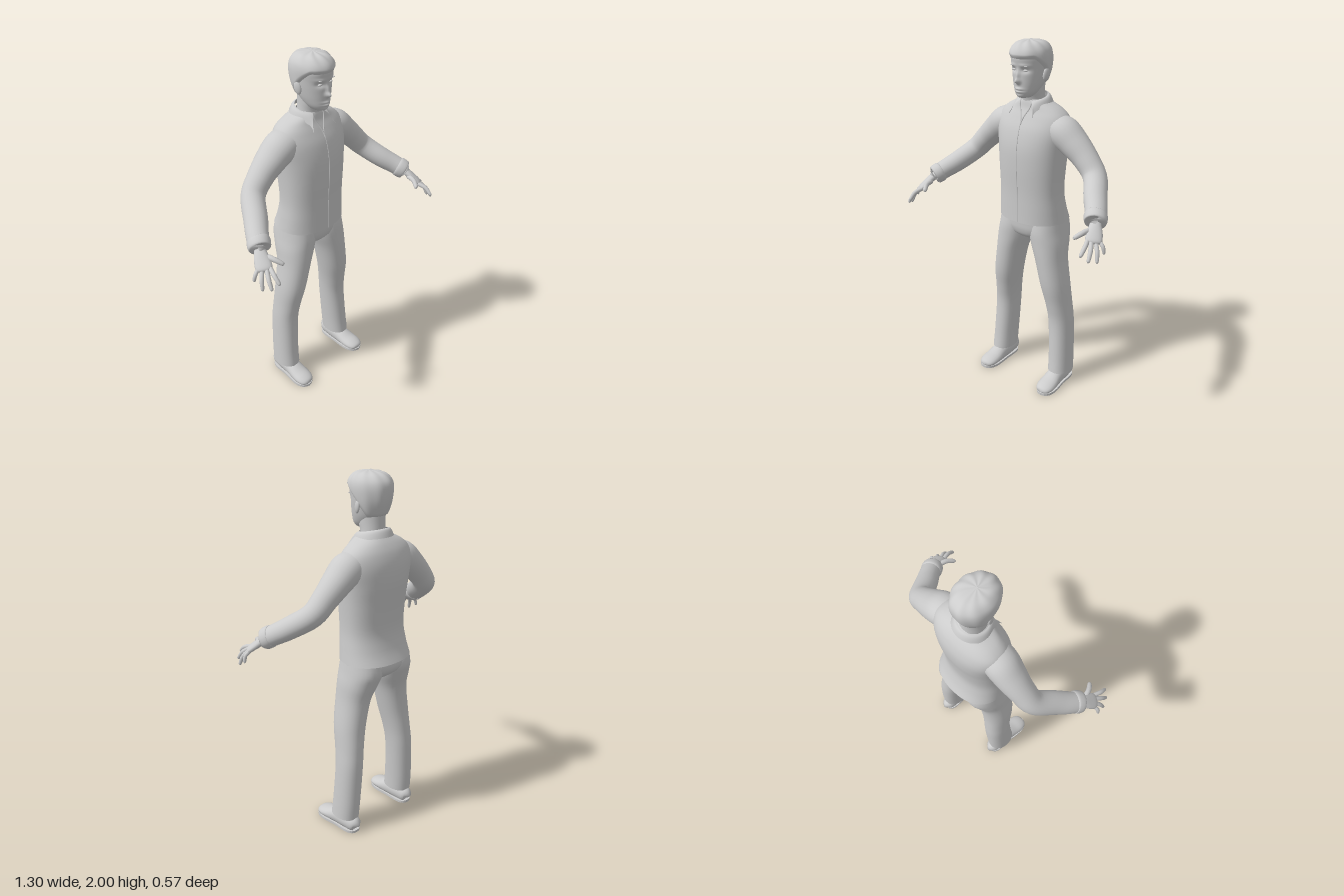
import * as THREE from 'three';

const V = (x, y, z) => new THREE.Vector3(x, y, z);

// Catmull-Rom interpolation through rows of numbers, t in 0..1
function sample(rows, t) {
  const n = rows.length - 1;
  const f = Math.min(Math.max(t, 0), 1) * n, i = Math.min(Math.floor(f), n - 1), u = f - i;
  const [a, b, c, d] = [rows[Math.max(i - 1, 0)], rows[i], rows[i + 1], rows[Math.min(i + 2, n)]];
  return b.map((p, k) => p + 0.5 * u * (c[k] - a[k] + u * (2 * a[k] - 5 * p + 4 * c[k] - d[k]
    + u * (3 * (p - c[k]) + d[k] - a[k]))));
}

// Smooth grid surface from fn(theta, t); wraps round when closed
function surface(fn, nu, nv, closed = true) {
  const pos = [], idx = [], w = closed ? nu : nu + 1;
  for (let j = 0; j <= nv; j++)
    for (let i = 0; i < w; i++) pos.push(...fn(closed ? (i / nu) * Math.PI * 2 : i / nu, j / nv).toArray());
  for (let j = 0; j < nv; j++)
    for (let i = 0; i < nu; i++) {
      const a = j * w + i, b = j * w + (i + 1) % w;
      idx.push(a, b, a + w, b, b + w, a + w);
    }
  const g = new THREE.BufferGeometry();
  g.setAttribute('position', new THREE.Float32BufferAttribute(pos, 3));
  g.setIndex(idx);
  g.computeVertexNormals();
  return g;
}

// Horizontal rings: [y, centreX, halfWidth, zFront, zBack]
const ringPoint = (rows, e = 1) => (a, t) => {
  const [y, cx, rx, zf, zb] = sample(rows, t);
  const pw = (v) => Math.sign(v) * Math.pow(Math.abs(v), e);
  return V(cx + rx * pw(Math.sin(a)), y, (zf + zb) / 2 + ((zf - zb) / 2) * pw(Math.cos(a)));
};

// Limb along a path of [x, y, z, radiusAlongRef, radiusAcross]
function limb(rows, ref, nu, nv) {
  return surface((a, t) => {
    const at = (s) => V(...sample(rows, s));
    const r = sample(rows, t);
    const T = at(t + 0.01).sub(at(t - 0.01)).normalize();
    const N = ref.clone().addScaledVector(T, -ref.dot(T)).normalize();
    const B = T.clone().cross(N);
    return V(r[0], r[1], r[2]).addScaledVector(N, r[3] * Math.cos(a)).addScaledVector(B, r[4] * Math.sin(a));
  }, nu, nv);
}

function mirrored(g) {
  const m = g.clone().scale(-1, 1, 1), ix = m.index.array;
  for (let i = 0; i < ix.length; i += 3) [ix[i], ix[i + 1]] = [ix[i + 1], ix[i]];
  m.computeVertexNormals();
  return m;
}

export function createModel() {
  const model = new THREE.Group();
  const grey = new THREE.MeshStandardMaterial({ color: 0xcccccc, side: THREE.DoubleSide });
  grey.name = 'plainGrey';
  const add = (name, g) => {
    const m = new THREE.Mesh(g, grey);
    m.name = name;
    model.add(m);
  };
  const pair = (name, g) => {
    add(name + 'Left', g);
    add(name + 'Right', mirrored(g));
  };

  // Jacket body
  const torso = ringPoint([
    [1.025, 0, 0.203, 0.033, -0.285], [1.1, 0, 0.195, 0.033, -0.255], [1.2, 0, 0.188, 0.034, -0.235],
    [1.34, 0, 0.194, 0.04, -0.245], [1.45, 0, 0.203, 0.038, -0.258], [1.54, 0, 0.215, 0.02, -0.257],
    [1.605, 0, 0.205, -0.008, -0.24], [1.65, 0, 0.16, -0.03, -0.215], [1.685, 0, 0.09, -0.038, -0.185],
    [1.7, 0, 0.066, -0.043, -0.17],
  ], 0.88);
  add('jacketBody', surface(torso, 48, 45));

  // Front closing edge and open neckline
  const seam = (f, r) => new THREE.TubeGeometry(
    new THREE.CatmullRomCurve3(Array.from({ length: 12 }, (_, i) => f(i / 11))), 24, r, 5);
  add('frontClosure', seam((s) => torso(0, 0.004 + s * 0.6), 0.0025));
  pair('necklineEdge', seam((s) => torso(0.55 * s * s, 0.6 + s * 0.36), 0.004));

  // Folded collar with pointed front tips
  add('collar', surface((u, t) => {
    const a = 0.5 + u * (Math.PI * 2 - 1), c = Math.cos(a);
    const tip = Math.pow(Math.abs(u * 2 - 1), 8);
    const inner = V(0.073 * Math.sin(a), 1.708 - 0.016 * c, -0.107 + 0.074 * c);
    const outer = V(0.104 * Math.sin(a), 1.672 - 0.012 * c, -0.11 + 0.1 * c);
    outer.lerp(V(0.08 * Math.sign(Math.sin(a)), 1.617, 0.004), tip);
    const p = inner.lerp(outer, t);
    p.y += 0.012 * Math.sin(Math.PI * t);
    return p;
  }, 48, 6, false));

  // Sleeves and turned cuffs
  pair('sleeve', limb([
    [0.12, 1.575, -0.115, 0.06, 0.08], [0.19, 1.54, -0.117, 0.084, 0.092], [0.26, 1.487, -0.12, 0.076, 0.084],
    [0.335, 1.42, -0.118, 0.066, 0.07], [0.405, 1.345, -0.1, 0.06, 0.064], [0.47, 1.275, -0.01, 0.057, 0.062],
    [0.515, 1.235, 0.05, 0.053, 0.058], [0.546, 1.205, 0.1, 0.051, 0.055],
  ], V(0.5, 0.8, 0.1), 24, 35));
  pair('cuff', limb([
    [0.529, 1.222, 0.073, 0.05, 0.054], [0.533, 1.218, 0.08, 0.056, 0.06],
    [0.551, 1.2, 0.107, 0.052, 0.056], [0.551, 1.2, 0.108, 0.028, 0.03],
  ], V(0.5, 0.8, 0.1), 24, 12));

  // Hands: palm, four fingers, thumb
  const side = V(-0.72, 0.1, 0.6);
  pair('palm', limb([
    [0.535, 1.22, 0.075, 0.026, 0.022], [0.555, 1.194, 0.112, 0.029, 0.021], [0.575, 1.163, 0.15, 0.04, 0.019],
    [0.592, 1.134, 0.185, 0.039, 0.015], [0.597, 1.126, 0.194, 0.002, 0.002],
  ], side, 16, 20));
  const finger = (name, b, tip, r) => {
    const mid = b.clone().lerp(tip, 0.5).add(V(0.006, 0.008, 0.003));
    const end = b.clone().lerp(tip, 0.93);
    const row = (p, k) => [p.x, p.y, p.z, r * k, r * k];
    pair(name, limb([row(b, 1), row(mid, 1), row(end, 0.75), row(tip, 0.05)], side, 10, 12));
  };
  finger('indexFinger', V(0.568, 1.138, 0.2), V(0.585, 1.09, 0.287), 0.0115);
  finger('middleFinger', V(0.583, 1.135, 0.19), V(0.618, 1.062, 0.265), 0.0115);
  finger('ringFinger', V(0.599, 1.132, 0.176), V(0.64, 1.048, 0.22), 0.011);
  finger('littleFinger', V(0.612, 1.132, 0.16), V(0.645, 1.078, 0.165), 0.01);
  finger('thumb', V(0.548, 1.172, 0.145), V(0.51, 1.148, 0.236), 0.014);

  // Trousers: hips and two legs
  add('hips', surface(ringPoint([
    [1.08, 0, 0.185, 0.015, -0.235], [1.02, 0, 0.198, 0.008, -0.262], [0.97, 0, 0.19, 0.003, -0.258],
    [0.93, 0, 0.13, -0.015, -0.22], [0.905, 0, 0.06, -0.06, -0.17], [0.9, 0, 0, -0.11, -0.11],
  ].reverse(), 0.9), 40, 25));
  pair('trouserLeg', surface(ringPoint([
    [0.085, 0.215, 0.066, -0.028, -0.2], [0.2, 0.21, 0.066, -0.04, -0.208], [0.4, 0.198, 0.068, -0.05, -0.213],
    [0.52, 0.186, 0.07, -0.035, -0.207], [0.65, 0.168, 0.078, -0.01, -0.2], [0.8, 0.14, 0.084, 0.001, -0.207],
    [0.9, 0.118, 0.098, 0.004, -0.238], [0.97, 0.105, 0.1, 0.004, -0.26], [1.04, 0.1, 0.095, -0.005, -0.25],
  ], 0.92), 28, 40));

  // Shoes, soles and ankles
  const shoe = limb([
    [0.212, 0.04, -0.207, 0.004, 0.004], [0.212, 0.045, -0.2, 0.042, 0.036], [0.212, 0.05, -0.14, 0.055, 0.046],
    [0.213, 0.046, -0.07, 0.054, 0.048], [0.216, 0.035, 0, 0.036, 0.055], [0.219, 0.028, 0.05, 0.028, 0.053],
    [0.221, 0.022, 0.082, 0.018, 0.036], [0.221, 0.02, 0.092, 0.002, 0.003],
  ], V(0, 1, 0), 20, 28);
  const sp = shoe.attributes.position;
  for (let i = 0; i < sp.count; i++) sp.setY(i, Math.max(sp.getY(i), 0.01));
  shoe.computeVertexNormals();
  pair('shoe', shoe);
  const sole = new THREE.Shape();
  sole.moveTo(0.212, 0.21);
  sole.bezierCurveTo(0.275, 0.21, 0.258, 0.13, 0.262, 0.08);
  sole.bezierCurveTo(0.266, 0.03, 0.305, -0.085, 0.221, -0.096);
  sole.bezierCurveTo(0.145, -0.09, 0.162, 0.01, 0.165, 0.07);
  sole.bezierCurveTo(0.167, 0.13, 0.15, 0.21, 0.212, 0.21);
  const soleGeo = new THREE.ExtrudeGeometry(sole, { depth: 0.014, bevelEnabled: false, curveSegments: 10 });
  soleGeo.rotateX(-Math.PI / 2);
  soleGeo.setIndex([...Array(soleGeo.attributes.position.count).keys()]);
  pair('sole', soleGeo);
  pair('ankle', new THREE.CylinderGeometry(0.046, 0.044, 0.1, 18).translate(0.213, 0.12, -0.13));

  // Neck
  add('neck', surface(ringPoint([
    [1.62, 0, 0.068, -0.045, -0.17], [1.7, 0, 0.063, -0.038, -0.168],
    [1.75, 0, 0.064, -0.02, -0.168], [1.8, 0, 0.066, -0.02, -0.17],
  ]), 28, 12));

  // Head with modelled features
  const skull = ringPoint([
    [1.712, 0, 0, -0.03, -0.03], [1.715, 0, 0.032, 0.004, -0.08], [1.738, 0, 0.056, 0.019, -0.12],
    [1.775, 0, 0.073, 0.022, -0.155], [1.82, 0, 0.084, 0.024, -0.178], [1.87, 0, 0.092, 0.026, -0.195],
    [1.92, 0, 0.095, 0.034, -0.2], [1.955, 0, 0.084, 0.02, -0.187], [1.98, 0, 0.055, -0.015, -0.15],
    [1.988, 0, 0, -0.075, -0.075],
  ]);
  const bump = (p, x, y, sx, sy) => Math.exp(-(((Math.abs(p.x) - x) / sx) ** 2) - ((p.y - y) / sy) ** 2);
  add('head', surface((a, t) => {
    const p = skull(a, t);
    if (Math.cos(a) > 0) p.z += 0.026 * bump(p, 0, 1.803, 0.012, 0.013) + 0.014 * bump(p, 0, 1.83, 0.009, 0.024)
      - 0.011 * bump(p, 0.036, 1.857, 0.02, 0.012) + 0.005 * bump(p, 0.036, 1.882, 0.026, 0.008)
      + 0.008 * bump(p, 0, 1.762, 0.022, 0.006) + 0.007 * bump(p, 0, 1.747, 0.02, 0.005)
      + 0.004 * bump(p, 0, 1.725, 0.02, 0.01) - 0.003 * bump(p, 0, 1.755, 0.024, 0.002);
    return p;
  }, 80, 90));
  pair('eye', new THREE.SphereGeometry(1, 16, 10).scale(0.014, 0.006, 0.008).translate(0.036, 1.857, 0.009));
  pair('eyebrow', new THREE.SphereGeometry(1, 14, 8).scale(0.02, 0.003, 0.006).rotateZ(0.06).translate(0.037, 1.88, 0.018));

  // Hair cap: fringe in front, cut around the ears, down to the nape
  add('hair', surface((a, s) => {
    const c = Math.cos(a);
    const rim = c > 0 ? 0.51 + 0.135 * Math.min(1, c * 1.7) : 0.51 - 0.19 * Math.min(1, -c * 1.6);
    const t = rim + (1 - rim) * s;
    const p = skull(a, t);
    const out = p.clone().sub(V(0, 1.86, -0.085)).normalize();
    const locks = 0.0022 * Math.sin(a * 9 + s * 5) * Math.sin(Math.PI * s);
    return p.addScaledVector(out, -0.004 + 0.016 * Math.min(1, s * 9) + locks);
  }, 64, 28));

  // Ears
  pair('ear', new THREE.SphereGeometry(1, 16, 12).scale(0.01, 0.034, 0.02).rotateX(-0.2).rotateY(-0.3)
    .translate(0.094, 1.832, -0.088));

  return model;
}
